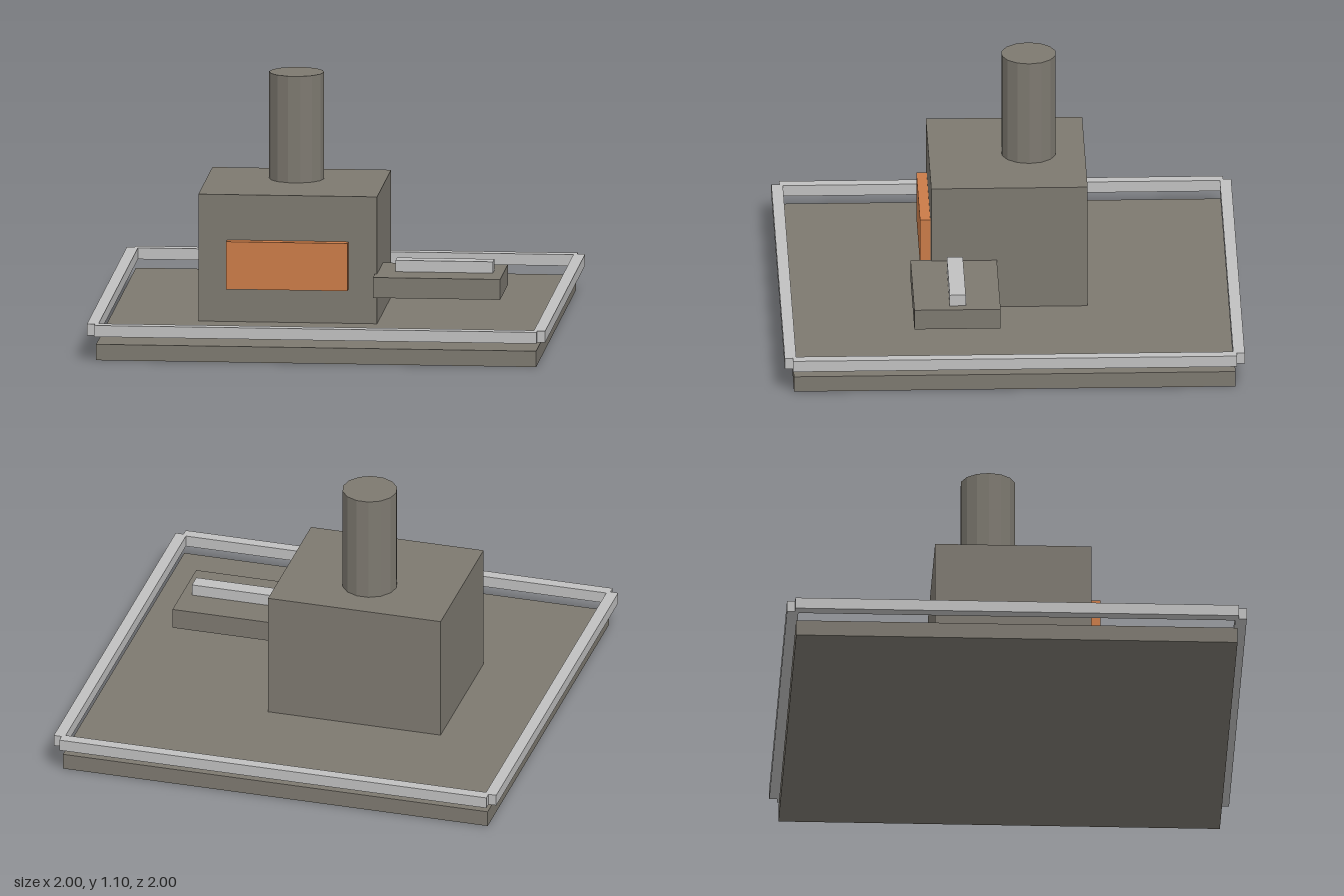
import * as THREE from 'three';

export function createModel() {
  const model = new THREE.Group();
  model.name = 'forge';

  const material = (name, color) => {
    const m = new THREE.MeshStandardMaterial({ color });
    m.name = name;
    return m;
  };
  const stone = material('stone grey', 0x7d7970);
  const metal = material('light metal', 0xc0c0c0);
  const ember = material('ember orange', 0xca7b48);
  stone.flatShading = true; // faceted chimney

  const add = (name, geometry, mat, x, y, z) => {
    const mesh = new THREE.Mesh(geometry, mat);
    mesh.name = name;
    mesh.position.set(x, y, z);
    model.add(mesh);
    return mesh;
  };
  // Box given by its minimum and maximum on each axis
  const box = (name, mat, [x0, x1], [y0, y1], [z0, z1]) =>
    add(name, new THREE.BoxGeometry(x1 - x0, y1 - y0, z1 - z0), mat,
      (x0 + x1) / 2, (y0 + y1) / 2, (z0 + z1) / 2);

  // Floor slab
  box('base', stone, [-0.96, 0.96], [0, 0.07], [-0.96, 0.96]);

  // Furnace block with its glowing mouth
  box('furnace', stone, [-0.57, 0.21], [0.07, 0.63], [-0.34, 0.34]);
  box('furnaceMouth', ember, [-0.445, 0.085], [0.22, 0.43], [0.335, 0.385]);

  // Chimney, with corners at its left and right
  const chimney = add('chimney', new THREE.CylinderGeometry(0.12, 0.12, 0.47, 14),
    stone, -0.18, 0.865, -0.095);
  chimney.rotation.y = Math.PI / 2;

  // Side shelf and the bar lying on it
  box('shelf', stone, [0.2, 0.755], [0.2, 0.29], [0.055, 0.43]);
  box('bar', metal, [0.285, 0.71], [0.29, 0.34], [0.205, 0.275]);

  // Floating rails around the edge, crossing at the corners
  for (const side of [-1, 1]) {
    add(side > 0 ? 'frontRail' : 'backRail',
      new THREE.BoxGeometry(1.93, 0.05, 0.05), metal, 0, 0.135, side * 0.975);
    add(side > 0 ? 'leftRail' : 'rightRail',
      new THREE.BoxGeometry(0.05, 0.05, 1.93), metal, side * 0.975, 0.135, 0);
  }

  return model;
}
